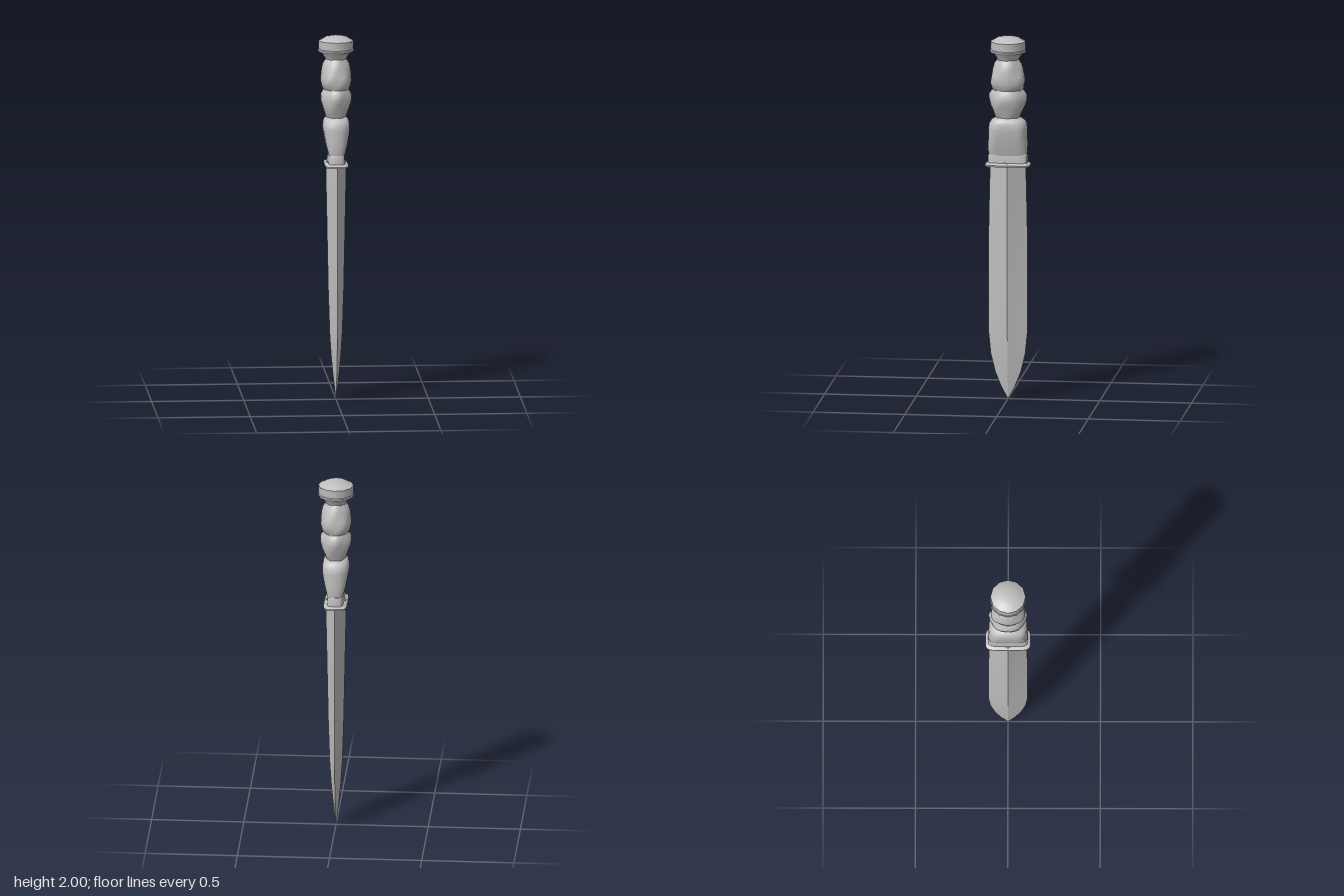
import * as THREE from 'three';
import { toCreasedNormals } from 'three/addons/utils/BufferGeometryUtils.js';

const steel = new THREE.MeshStandardMaterial({ color: 0xbfbfbf });
steel.name = 'grey steel';

// Lofts closed cross-sections [y, halfX, halfZ, roundness]; roundness 2 = ellipse, 1 = diamond, higher = boxy
function loft(rings, sides, crease, relief = () => 1) {
  const pos = [], index = [];
  for (const [y, rx, rz, n = 2] of rings) {
    for (let i = 0; i < sides; i++) {
      const a = (i / sides) * Math.PI * 2, c = Math.cos(a), s = Math.sin(a);
      const k = relief(a, y);
      pos.push(Math.sign(c) * Math.abs(c) ** (2 / n) * rx * k, y, Math.sign(s) * Math.abs(s) ** (2 / n) * rz * k);
    }
  }
  for (let r = 0; r < rings.length - 1; r++) {
    for (let i = 0; i < sides; i++) {
      const j = (i + 1) % sides, a = r * sides + i, b = r * sides + j;
      index.push(a, a + sides, b, b, a + sides, b + sides);
    }
  }
  // end caps
  const last = (rings.length - 1) * sides;
  for (let i = 1; i < sides - 1; i++) {
    index.push(0, i, i + 1, last, last + i + 1, last + i);
  }
  const g = new THREE.BufferGeometry();
  g.setAttribute('position', new THREE.Float32BufferAttribute(pos, 3));
  g.setIndex(index);
  return toCreasedNormals(g, crease);
}

export function createModel() {
  const group = new THREE.Group();
  const add = (name, geometry) => {
    const mesh = new THREE.Mesh(geometry, steel);
    mesh.name = name;
    group.add(mesh);
  };

  // double-edged blade with a central ridge on each face
  add('blade', loft([
    [0, 0.001, 0.001, 2], [0.07, 0.009, 0.038], [0.15, 0.018, 0.07], [0.25, 0.027, 0.094],
    [0.36, 0.034, 0.105], [0.6, 0.042, 0.106], [0.95, 0.049, 0.105], [1.15, 0.053, 0.101], [1.31, 0.054, 0.097],
  ], 4, 0.35));

  // thin guard plate and the collar above it
  add('guardPlate', loft([
    [1.287, 0.062, 0.122, 5], [1.296, 0.064, 0.123, 5], [1.306, 0.05, 0.108, 5],
  ], 24, 0.6));
  add('collar', loft([
    [1.3, 0.045, 0.107, 5], [1.345, 0.043, 0.107, 5], [1.355, 0.041, 0.104, 5],
  ], 24, 0.6));

  // lower grip: wide shoulder, hollowed gently on both broad sides
  add('lowerGrip', loft([
    [1.345, 0.042, 0.102, 4], [1.37, 0.049, 0.107, 4], [1.41, 0.06, 0.108, 3.5], [1.45, 0.068, 0.107, 3.2],
    [1.49, 0.075, 0.106, 3], [1.52, 0.073, 0.103, 3], [1.54, 0.068, 0.09, 2.6], [1.556, 0.053, 0.065, 2],
  ], 28, 0.9, (a, y) => 1 - 0.04 * Math.sin((y - 1.345) * 15) * (0.5 + 0.5 * Math.cos(6 * a))));

  // upper grip: two carved bulges with a waist between them
  const carve = (a, y) => 1 + 0.045 * Math.cos(4 * a + Math.PI) * Math.sin((y - 1.55) * 38)
    + 0.025 * Math.cos(6 * a) * Math.cos((y - 1.55) * 30);
  add('upperGrip', loft([
    [1.545, 0.05, 0.062], [1.58, 0.064, 0.078], [1.62, 0.078, 0.094], [1.65, 0.084, 0.098],
    [1.68, 0.082, 0.099], [1.697, 0.072, 0.09], [1.708, 0.068, 0.083], [1.722, 0.077, 0.09],
    [1.75, 0.085, 0.098], [1.785, 0.083, 0.092], [1.82, 0.077, 0.081], [1.85, 0.07, 0.071], [1.875, 0.055, 0.056],
  ], 28, 0.9, carve));

  // faceted pommel: flared neck, overhanging band, domed cap
  const profile = [
    [0, 1.86], [0.054, 1.86], [0.058, 1.875], [0.082, 1.912], [0.098, 1.914], [0.098, 1.924],
    [0.094, 1.928], [0.095, 1.973], [0.081, 1.979], [0.06, 1.992], [0.03, 1.998], [0, 2],
  ].map(([r, y]) => new THREE.Vector2(r, y));
  add('pommel', toCreasedNormals(new THREE.LatheGeometry(profile, 12), 0.58));

  return group;
}
